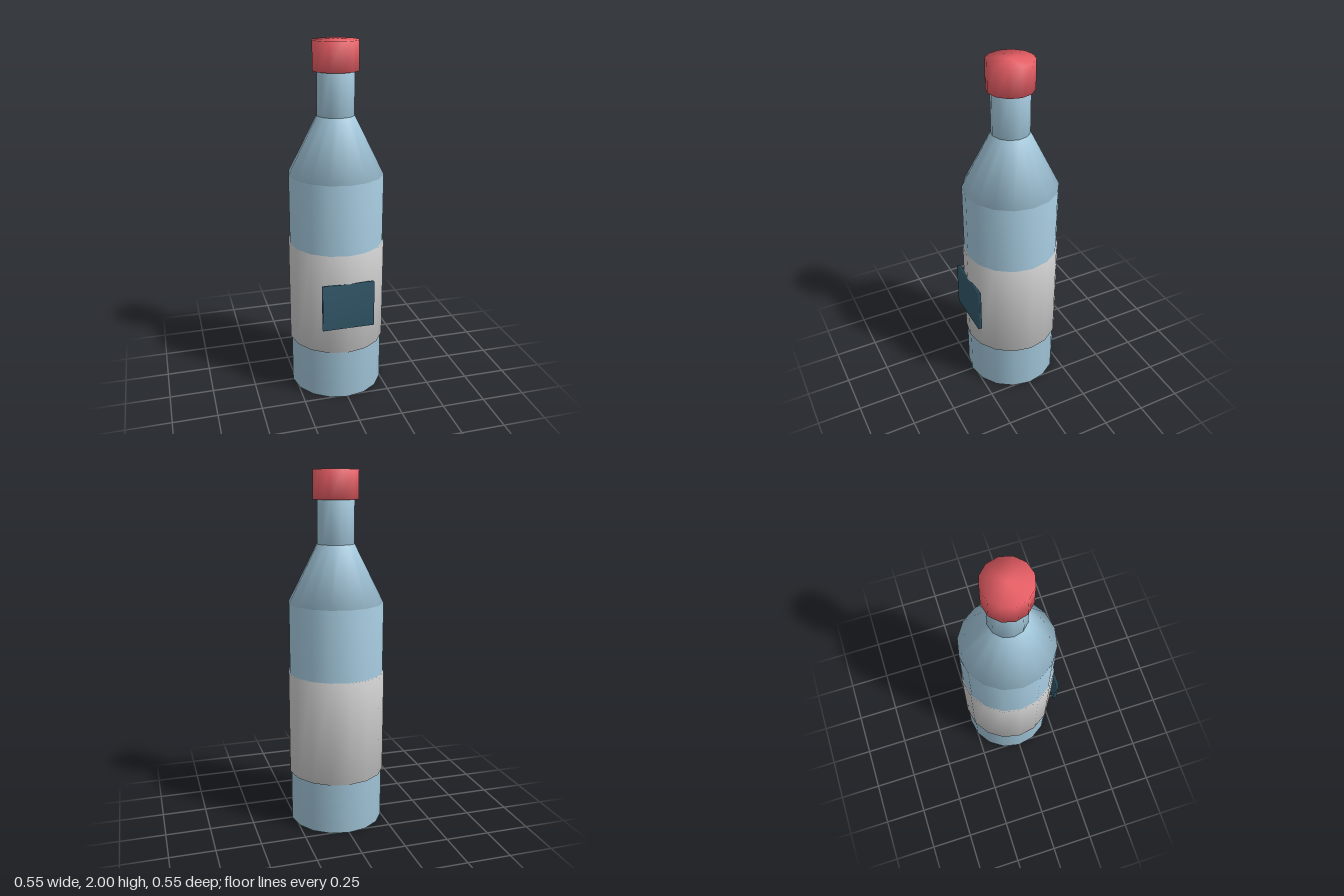
import * as THREE from 'three';
import { mergeVertices } from 'three/addons/utils/BufferGeometryUtils.js';

// Weld all corners so the shading rolls softly over the rims
function soften(geometry) {
  geometry.deleteAttribute('normal');
  geometry.deleteAttribute('uv');
  const welded = mergeVertices(geometry, 1e-4);
  welded.computeVertexNormals();
  return welded;
}

export function createModel() {
  const group = new THREE.Group();
  const paint = (color) => new THREE.MeshStandardMaterial({ color });
  const glass = paint(0xa5cade);
  const red = paint(0xe95f66);
  const paper = paint(0xeeeeee);
  const navy = paint(0x33596b);
  const axisZ = -0.003;

  function add(name, geometry, material, y, z) {
    const mesh = new THREE.Mesh(soften(geometry), material);
    mesh.name = name;
    mesh.position.set(0, y, z);
    group.add(mesh);
  }

  // Closed round section between two heights
  function section(name, material, y0, y1, bottomRadius, topRadius, sides) {
    const geometry = new THREE.CylinderGeometry(topRadius, bottomRadius, y1 - y0, sides);
    add(name, geometry, material, (y0 + y1) / 2, axisZ);
  }

  // Bottle, from the base up
  section('body', glass, 0, 1.283, 0.267, 0.267, 16);
  section('shoulder', glass, 1.283, 1.605, 0.267, 0.105, 16);
  section('neck', glass, 1.605, 1.86, 0.105, 0.105, 12);
  section('cap', red, 1.842, 2, 0.128, 0.128, 12);

  // Paper band around the body with a flat plate on its front
  section('labelBand', paper, 0.297, 0.886, 0.2745, 0.2745, 16);
  add('labelPlate', new THREE.BoxGeometry(0.294, 0.265, 0.021), navy, 0.589, 0.2665);

  return group;
}
